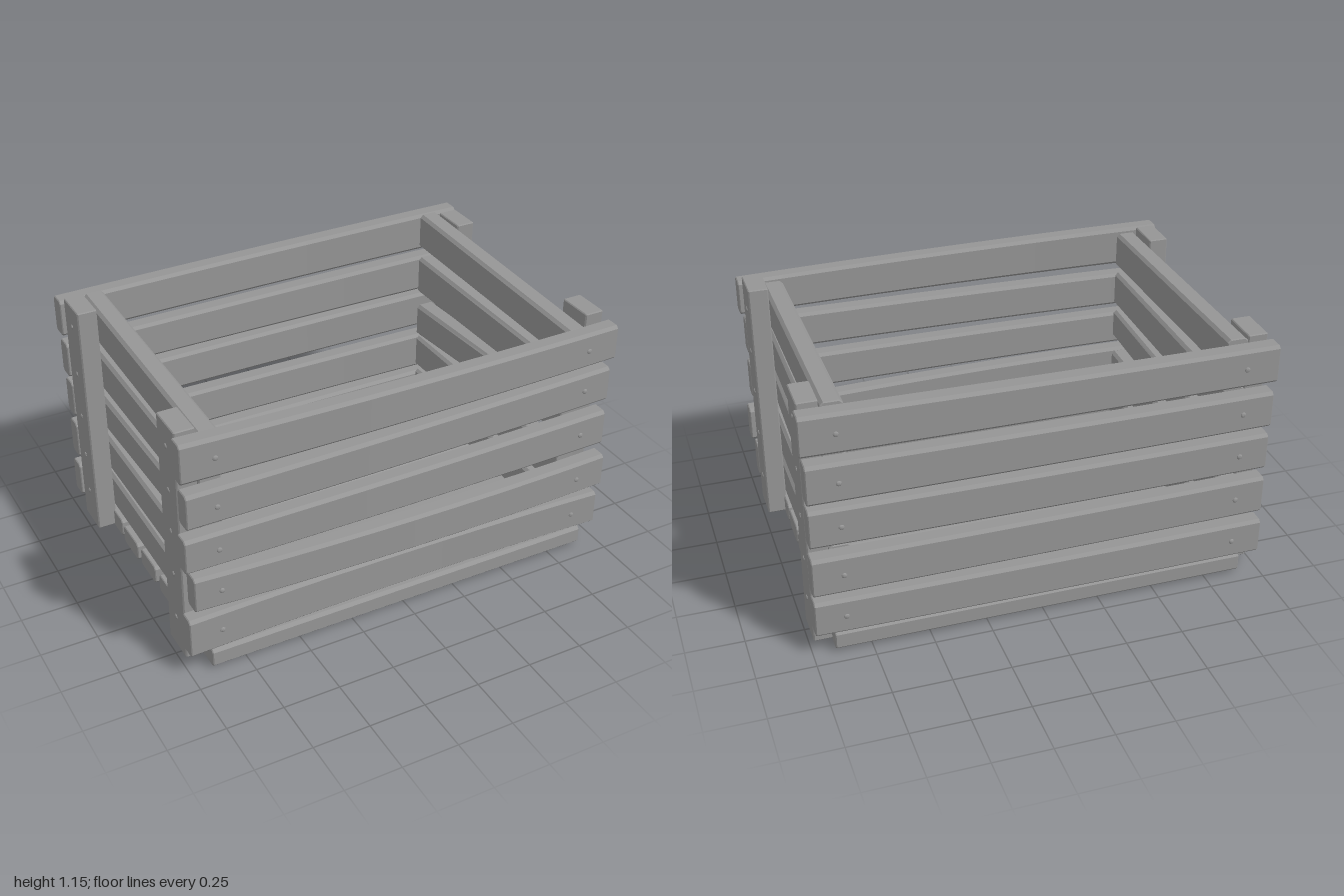
import * as THREE from 'three';

const material = new THREE.MeshStandardMaterial({ color: 0x959595, flatShading: true });
const lerp = THREE.MathUtils.lerp;
const BEVEL = 0.004;

// Axis letters: length, width, thickness of each kind of board
const LONG = 'xyz', SIDE = 'zyx', POST = 'yzx', FLOOR = 'xzy';
const ODD = [SIDE, FLOOR];

// Chamfered board; width runs lo..hi at its start (a) and end (b), bow bends it along its thickness
function plank(name, axes, [s0, s1], a, b, [t0, t1], bow = 0) {
  const w = (a[1] - a[0] + b[1] - b[0]) / 2, t = t1 - t0, len = s1 - s0;
  const p = w / 2 - BEVEL, q = t / 2 - BEVEL;
  const cut = axes === POST ? 0.003 : 0.011; // posts have crisper edges
  const section = new THREE.Shape([
    [-p + cut, -q], [p - cut, -q], [p, -q + cut], [p, q - cut],
    [p - cut, q], [-p + cut, q], [-p, q - cut], [-p, -q + cut],
  ].map(([x, y]) => new THREE.Vector2(x, y)));
  const geo = new THREE.ExtrudeGeometry(section, {
    depth: len - 2 * BEVEL, steps: bow ? 10 : 1,
    bevelSize: BEVEL, bevelThickness: BEVEL, bevelSegments: 1,
  });
  const pos = geo.attributes.position;
  const flip = ODD.includes(axes) ? -1 : 1; // keeps faces outward when axes swap
  for (let i = 0; i < pos.count; i++) {
    const s = pos.getZ(i) + BEVEL, f = s / len;
    const v = {};
    v[axes[0]] = s0 + s;
    v[axes[1]] = lerp(lerp(a[0], b[0], f), lerp(a[1], b[1], f), pos.getX(i) / w + 0.5);
    v[axes[2]] = (t0 + t1) / 2 + flip * pos.getY(i) + bow * 4 * f * (1 - f);
    pos.setXYZ(i, v.x, v.y, v.z);
  }
  geo.computeVertexNormals();
  const mesh = new THREE.Mesh(geo, material);
  mesh.name = name;
  return mesh;
}

// Small domed nail head, flattened along the given axis
const nailGeo = new THREE.SphereGeometry(0.012, 10, 6);
function nail(x, y, z, axis) {
  const mesh = new THREE.Mesh(nailGeo, material);
  mesh.name = 'nail';
  mesh.position.set(x, y, z);
  mesh.scale[axis] = 0.5;
  return mesh;
}

export function createModel() {
  const crate = new THREE.Group();
  crate.name = 'crate';
  const group = (name) => {
    const g = new THREE.Group();
    g.name = name;
    crate.add(g);
    return g;
  };

  // Front slats: x range, heights at the -x end, heights at the +x end, bow
  const front = group('frontSlats');
  [
    [[-1, 1], [0.945, 1.125], [0.95, 1.11], 0.018],
    [[-0.985, 0.98], [0.73, 0.89], [0.75, 0.915], 0.01],
    [[-1, 0.98], [0.525, 0.685], [0.525, 0.695], 0.01],
    [[-0.97, 1], [0.325, 0.49], [0.3, 0.46], 0.028],
    [[-1, 0.98], [0.105, 0.29], [0.1, 0.265], -0.02],
  ].forEach(([xs, a, b, bow]) => {
    front.add(plank('frontSlat', LONG, xs, a, b, [0.597, 0.677], bow));
    front.add(nail(-0.857, (a[0] + a[1]) / 2, 0.677 + bow * 0.26, 'z'));
    front.add(nail(0.853, (b[0] + b[1]) / 2, 0.677 + bow * 0.26, 'z'));
  });

  // Back slats
  const back = group('backSlats');
  [
    [[-1, 1], [0.945, 1.115], [0.95, 1.13], -0.008],
    [[-0.99, 0.985], [0.735, 0.9], [0.73, 0.91], -0.005],
    [[-0.985, 0.985], [0.53, 0.7], [0.53, 0.705], -0.008],
    [[-0.985, 0.985], [0.31, 0.485], [0.295, 0.475], -0.005],
    [[-0.99, 0.985], [0.1, 0.265], [0.1, 0.265], -0.005],
  ].forEach(([xs, a, b, bow]) => {
    back.add(plank('backSlat', LONG, xs, a, b, [-0.698, -0.615], bow));
    back.add(nail(-0.855, (a[0] + a[1]) / 2, -0.698 + bow * 0.26, 'z'));
    back.add(nail(0.855, (b[0] + b[1]) / 2, -0.698 + bow * 0.26, 'z'));
  });

  // End slats: heights at the back end, heights at the front end
  const ends = {
    left: [
      [[0.965, 1.135], [0.938, 1.095]], [[0.72, 0.91], [0.735, 0.9]],
      [[0.485, 0.65], [0.58, 0.71]], [[0.31, 0.475], [0.3, 0.48]],
      [[0.125, 0.285], [0.1, 0.262]],
    ],
    right: [
      [[0.96, 1.13], [0.94, 1.105]], [[0.73, 0.905], [0.74, 0.905]],
      [[0.515, 0.675], [0.565, 0.705]], [[0.31, 0.475], [0.31, 0.48]],
      [[0.115, 0.28], [0.1, 0.265]],
    ],
  };
  // Corner posts: z range at the bottom, z range at the top, top height
  const posts = {
    left: [[[0.385, 0.545], [0.42, 0.585], 1.145], [[-0.615, -0.45], [-0.59, -0.425], 1.135]],
    right: [[[0.4, 0.57], [0.42, 0.59], 1.13], [[-0.6, -0.435], [-0.61, -0.44], 1.135]],
  };
  const nailHeights = [[1.025, 0.82, 0.62, 0.405, 0.18], [1.035, 0.8, 0.585, 0.38, 0.185]];
  for (const [side, sign] of [['left', 1], ['right', -1]]) {
    const span = (p, q) => [sign * p, sign * q].sort((m, n) => m - n);
    const g = group(side + 'End');
    ends[side].forEach(([a, b]) =>
      g.add(plank(side + 'EndSlat', SIDE, [-0.613, 0.596], a, b, span(0.802, 0.893))));
    posts[side].forEach(([bottom, top, height], i) => {
      g.add(plank(side + 'Post', POST, [0.02, height], bottom, top, span(0.895, 0.983)));
      for (const y of nailHeights[i]) {
        const mid = lerp((bottom[0] + bottom[1]) / 2, (top[0] + top[1]) / 2, y / height);
        g.add(nail(sign * 0.983, y, mid, 'x'));
      }
    });
  }

  // Floor boards: z range at the -x end, z range at the +x end, underside height
  const floor = group('floorBoards');
  [
    [[-0.69, -0.518], [-0.69, -0.515], 0.012],
    [[-0.495, -0.335], [-0.5, -0.328], 0.012],
    [[-0.32, -0.15], [-0.31, -0.13], 0],
    [[-0.11, 0.055], [-0.103, 0.08], 0.012],
    [[0.1, 0.265], [0.105, 0.272], 0.012],
    [[0.32, 0.49], [0.295, 0.46], 0.012],
    [[0.5, 0.67], [0.51, 0.677], 0.012],
  ].forEach(([a, b, y], i) =>
    floor.add(plank('floorBoard', FLOOR, [-0.905, i === 2 ? 0.915 : 0.905], a, b, [y, y + 0.088])));

  return crate;
}
